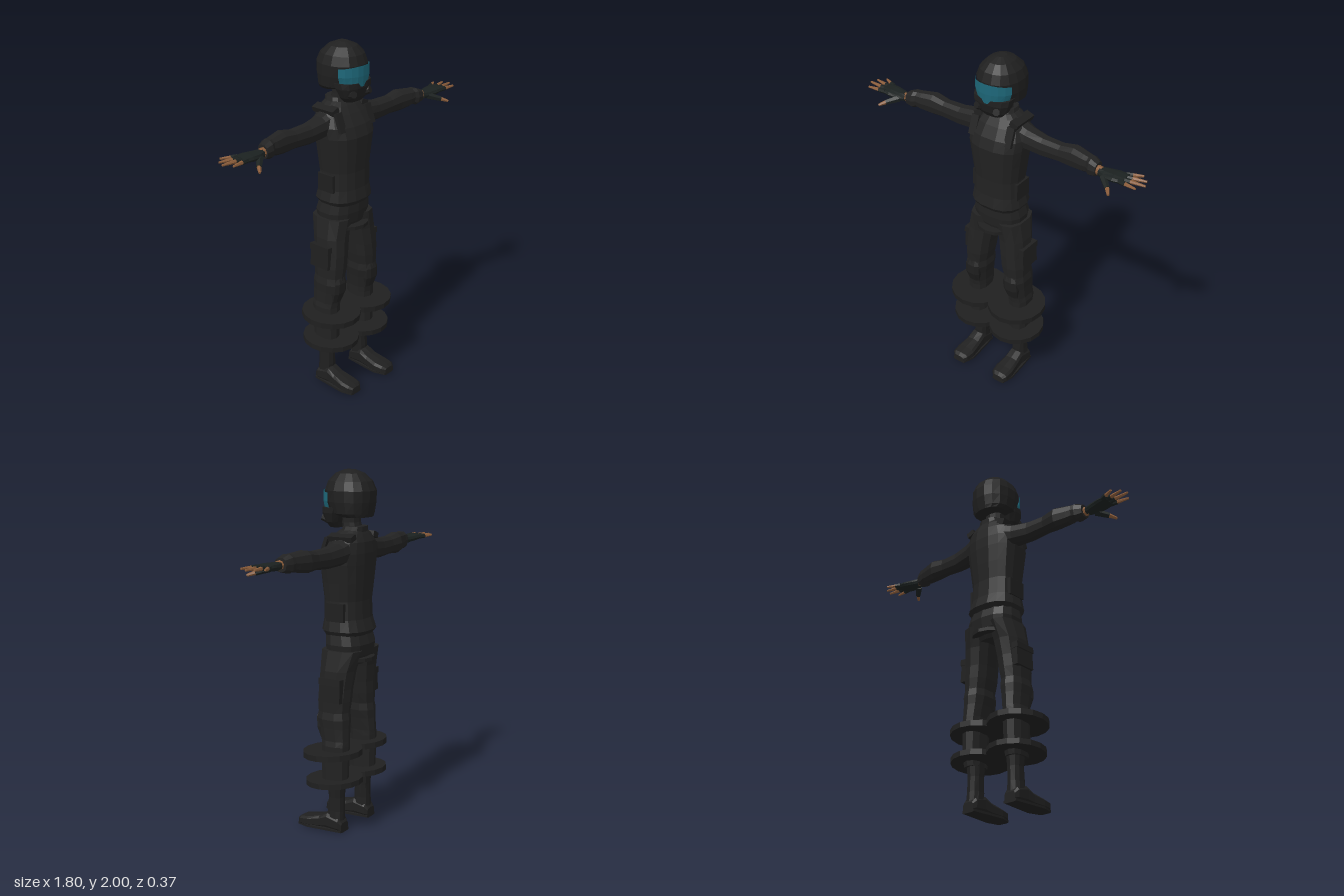
import * as THREE from 'three';

const mat = (name, color) => {
  const m = new THREE.MeshStandardMaterial({ color, flatShading: true });
  m.name = name;
  return m;
};

// Closed loft; rows are [position along axis, centreA, centreB, radiusA, radiusB], ascending.
// axis y: A = x, B = z.  axis x: A = y, B = z.  axis z: A = x, B = y.
function loft(axis, rows, n = 12, square = 0.8) {
  const pos = [], idx = [];
  const put = (t, a, b) => {
    if (axis === 'y') pos.push(a, t, b);
    else if (axis === 'x') pos.push(t, a, b);
    else pos.push(a, b, t);
  };
  const pw = v => Math.sign(v) * Math.pow(Math.abs(v), square);
  for (const [t, ca, cb, ra, rb] of rows) {
    for (let j = 0; j < n; j++) {
      const w = (j + 0.5) / n * Math.PI * 2;
      put(t, ca + ra * pw(Math.cos(w)), cb + rb * pw(Math.sin(w)));
    }
  }
  const tri = (a, b, c) => (axis === 'y' ? idx.push(a, b, c) : idx.push(a, c, b));
  for (let i = 0; i < rows.length - 1; i++) {
    for (let j = 0; j < n; j++) {
      const k = (j + 1) % n, p = i * n, q = p + n;
      tri(p + j, q + j, p + k);
      tri(p + k, q + j, q + k);
    }
  }
  const last = (rows.length - 1) * n, c0 = rows.length * n;
  put(rows[0][0], rows[0][1], rows[0][2]);
  const e = rows[rows.length - 1];
  put(e[0], e[1], e[2]);
  for (let j = 0; j < n; j++) {
    const k = (j + 1) % n;
    tri(c0, j, k);
    tri(c0 + 1, last + k, last + j);
  }
  const g = new THREE.BufferGeometry();
  g.setAttribute('position', new THREE.Float32BufferAttribute(pos, 3));
  g.setIndex(idx);
  return g;
}

// Tapered round bar between two points
function bar(a, b, r0, r1, n = 6) {
  const p = new THREE.Vector3(...a), q = new THREE.Vector3(...b), d = q.clone().sub(p);
  const g = new THREE.CylinderGeometry(r1, r0, d.length(), n);
  g.applyQuaternion(new THREE.Quaternion().setFromUnitVectors(new THREE.Vector3(0, 1, 0), d.clone().normalize()));
  const m = p.add(q).multiplyScalar(0.5);
  return g.translate(m.x, m.y, m.z);
}

const box = (w, h, d, x, y, z, rx = 0, rz = 0) =>
  new THREE.BoxGeometry(w, h, d).rotateX(rx).rotateZ(rz).translate(x, y, z);

function mirrored(geometry) {
  const g = geometry.clone().scale(-1, 1, 1), i = g.index.array;
  for (let k = 0; k < i.length; k += 3) [i[k + 1], i[k + 2]] = [i[k + 2], i[k + 1]];
  return g;
}

export function createModel() {
  const root = new THREE.Group();
  const suit = mat('black cloth', 0x222222);
  const gear = mat('black gear', 0x1f1f1f);
  const glove = mat('glove', 0x1b2120);
  const skin = mat('skin', 0x8a5c3a);
  const glass = mat('visor teal', 0x1d6779);
  glass.side = THREE.DoubleSide;

  const add = (name, geometry, material) => {
    const g = geometry.index ? geometry.toNonIndexed() : geometry;
    g.computeVertexNormals();
    const m = new THREE.Mesh(g, material);
    m.name = name;
    root.add(m);
  };
  const pair = (name, geometry, material) => {
    add('left ' + name, geometry, material);
    add('right ' + name, mirrored(geometry), material);
  };

  // Helmet, chin guard and neck
  add('helmet', loft('y', [
    [1.75, 0, -0.09, 0.095, 0.075], [1.77, 0, -0.06, 0.118, 0.11], [1.83, 0, -0.05, 0.125, 0.132],
    [1.89, 0, -0.045, 0.125, 0.14], [1.94, 0, -0.043, 0.108, 0.12], [1.98, 0, -0.04, 0.07, 0.08],
    [2.0, 0, -0.04, 0.025, 0.03]], 16, 0.9), gear);
  add('chin guard', loft('y', [
    [1.69, 0, 0.03, 0.06, 0.035], [1.72, 0, 0.035, 0.09, 0.05], [1.77, 0, 0.03, 0.112, 0.07],
    [1.8, 0, 0.02, 0.115, 0.08]], 12), gear);
  pair('breather', bar([0.05, 1.73, 0.05], [0.065, 1.745, 0.095], 0.028, 0.02, 8), gear);
  add('neck', loft('y', [[1.64, 0, -0.065, 0.06, 0.05], [1.72, 0, -0.05, 0.055, 0.045],
    [1.8, 0, -0.045, 0.06, 0.05]], 10), suit);

  // Curved visor, narrower towards its lower edge
  const visor = new THREE.CylinderGeometry(1, 1, 1, 8, 2, true, -1.2, 2.4);
  const vp = visor.attributes.position;
  for (let i = 0; i < vp.count; i++) {
    const v = vp.getY(i), low = v < -0.1;
    const side = Math.abs(vp.getX(i));
    vp.setXYZ(i, vp.getX(i) * (low ? 0.108 : 0.124), 1.835 + v * (0.115 - 0.03 * side * side),
      -0.012 + vp.getZ(i) * (low ? 0.112 : 0.118));
  }
  add('visor', visor, glass);

  // Jacket
  add('jacket', loft('y', [
    [1.11, 0, -0.035, 0.14, 0.115], [1.135, 0, -0.037, 0.155, 0.133], [1.2, 0, -0.032, 0.143, 0.117],
    [1.3, 0, -0.03, 0.14, 0.114], [1.4, 0, -0.03, 0.153, 0.124], [1.5, 0, -0.03, 0.167, 0.132],
    [1.56, 0, -0.04, 0.17, 0.123], [1.62, 0, -0.055, 0.15, 0.103], [1.66, 0, -0.06, 0.115, 0.08],
    [1.68, 0, -0.065, 0.08, 0.065]], 16), suit);
  add('collar', loft('y', [[1.65, 0, -0.065, 0.085, 0.07], [1.7, 0, -0.075, 0.07, 0.06]], 12), suit);
  pair('shoulder strap', box(0.05, 0.03, 0.15, 0.115, 1.645, -0.06, 0, -0.35), gear);
  pair('chest strap', box(0.045, 0.11, 0.02, 0.115, 1.59, 0.045, -0.35), gear);
  pair('side pouch', box(0.025, 0.1, 0.11, 0.137, 1.24, -0.035), gear);

  // Trousers
  add('pelvis', loft('y', [
    [0.945, 0, -0.04, 0.08, 0.085], [1.0, 0, -0.045, 0.145, 0.11], [1.06, 0, -0.045, 0.153, 0.12],
    [1.13, 0, -0.035, 0.14, 0.11]], 14), suit);
  add('hip plate', new THREE.CylinderGeometry(1, 1, 0.02, 14).scale(0.125, 1, 0.147)
    .translate(0, 0.976, -0.037), gear);
  pair('trouser leg', loft('y', [
    [0.255, 0.143, -0.038, 0.05, 0.065], [0.3, 0.145, -0.037, 0.055, 0.076], [0.5, 0.143, -0.04, 0.06, 0.08],
    [0.53, 0.14, -0.037, 0.057, 0.082], [0.6, 0.135, -0.028, 0.063, 0.088], [0.65, 0.132, -0.022, 0.07, 0.096],
    [0.69, 0.13, -0.022, 0.065, 0.09], [0.75, 0.124, -0.022, 0.073, 0.095], [0.82, 0.116, -0.024, 0.074, 0.096],
    [0.92, 0.105, -0.033, 0.08, 0.1], [1.03, 0.085, -0.045, 0.078, 0.118]], 10), suit);
  pair('thigh pouch', box(0.04, 0.13, 0.13, 0.182, 0.815, -0.035, 0, 0.06), gear);
  pair('thigh pouch flap', box(0.045, 0.035, 0.135, 0.183, 0.865, -0.035, 0, 0.06), gear);
  pair('knee pad', loft('y', [[0.54, 0.138, 0.03, 0.038, 0.02], [0.6, 0.135, 0.045, 0.05, 0.028],
    [0.66, 0.132, 0.05, 0.048, 0.026], [0.69, 0.13, 0.045, 0.035, 0.02]], 8), gear);

  // Tilted discs around the shins
  pair('upper shin disc', new THREE.CylinderGeometry(0.167, 0.167, 0.032, 16)
    .rotateX(0.06).translate(0.132, 0.453, -0.012), gear);
  pair('lower shin disc', new THREE.CylinderGeometry(0.16, 0.16, 0.03, 16)
    .rotateX(0.06).translate(0.127, 0.292, -0.02), gear);

  // Boots
  pair('boot shaft', loft('y', [[0.03, 0.142, -0.045, 0.046, 0.046], [0.12, 0.14, -0.04, 0.04, 0.046],
    [0.2, 0.138, -0.042, 0.04, 0.043], [0.28, 0.138, -0.042, 0.047, 0.05]], 10), gear);
  pair('boot foot', loft('z', [
    [-0.095, 0.143, 0.032, 0.036, 0.026], [-0.075, 0.143, 0.045, 0.048, 0.04], [0, 0.142, 0.056, 0.046, 0.052],
    [0.05, 0.142, 0.043, 0.049, 0.039], [0.12, 0.143, 0.035, 0.058, 0.031], [0.17, 0.145, 0.031, 0.052, 0.027],
    [0.19, 0.146, 0.025, 0.034, 0.02]], 10, 0.6), gear);
  pair('sole', loft('z', [[-0.095, 0.143, 0.01, 0.042, 0.01], [0, 0.143, 0.01, 0.051, 0.01],
    [0.12, 0.143, 0.01, 0.061, 0.01], [0.188, 0.146, 0.01, 0.04, 0.01]], 8, 0.5), gear);

  // Sleeves
  pair('sleeve', loft('x', [
    [0.1, 1.575, -0.06, 0.075, 0.075], [0.17, 1.56, -0.057, 0.06, 0.06], [0.27, 1.55, -0.052, 0.055, 0.05],
    [0.38, 1.553, -0.05, 0.05, 0.046], [0.46, 1.558, -0.052, 0.06, 0.053], [0.53, 1.56, -0.038, 0.052, 0.047],
    [0.56, 1.563, -0.033, 0.046, 0.043], [0.58, 1.56, -0.026, 0.051, 0.048],
    [0.62, 1.558, -0.018, 0.037, 0.037]], 10), suit);

  // Hands: bare wrist, half-finger glove and bare fingertips
  pair('wrist', bar([0.6, 1.558, -0.016], [0.645, 1.556, -0.013], 0.027, 0.024, 8), skin);
  pair('glove palm', loft('x', [[0.635, 1.555, -0.013, 0.022, 0.028], [0.67, 1.555, -0.012, 0.022, 0.04],
    [0.73, 1.56, -0.013, 0.02, 0.05], [0.785, 1.563, -0.016, 0.014, 0.047]], 10), glove);
  const fingers = [[-0.053, 0.845, -0.088], [-0.029, 0.883, -0.052], [-0.004, 0.898, -0.012], [0.021, 0.87, 0.038]];
  fingers.forEach(([z, tx, tz], i) => {
    const base = [0.765, 1.563, z], tip = [tx, 1.566, tz];
    const mid = base.map((v, k) => v + (tip[k] - v) * 0.38);
    pair(`glove finger ${i + 1}`, bar(base, mid, 0.014, 0.013), glove);
    pair(`fingertip ${i + 1}`, bar(mid, tip, 0.011, 0.006), skin);
  });
  pair('glove thumb', bar([0.67, 1.547, 0.012], [0.725, 1.526, 0.062], 0.021, 0.015), glove);
  pair('thumb tip', bar([0.725, 1.526, 0.062], [0.752, 1.513, 0.095], 0.012, 0.007), skin);

  return root;
}
